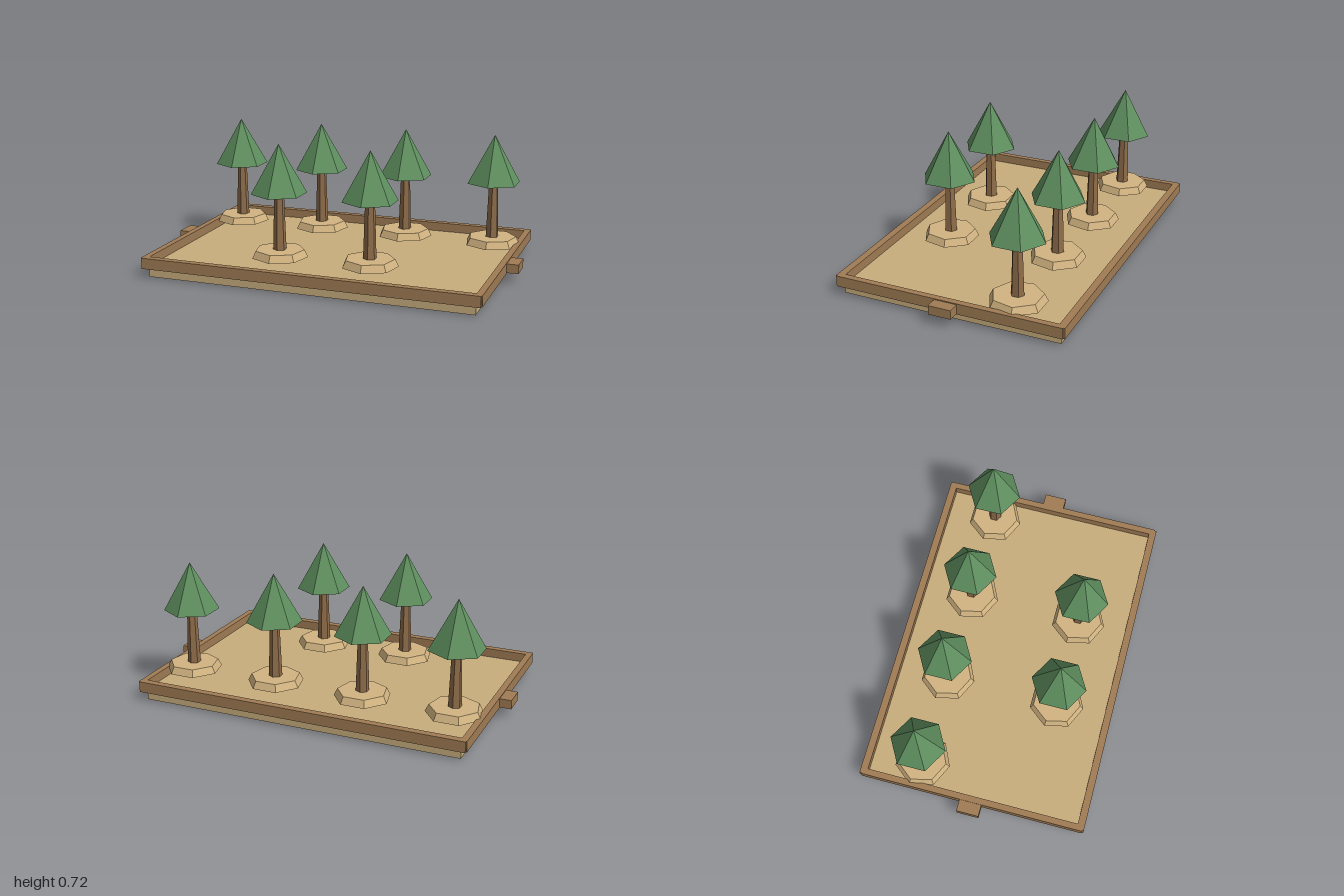
import * as THREE from 'three';

const mat = (color) => new THREE.MeshStandardMaterial({ color, flatShading: true });

export function createModel() {
  const model = new THREE.Group();
  const sand = mat(0xc8ad7d);
  const mound = mat(0xd2b481);
  const wood = mat(0xa07c54);
  const bark = mat(0x8f6d4a);
  const leaf = mat(0x5f8f5f);

  const add = (parent, name, geometry, material, x, y, z) => {
    const mesh = new THREE.Mesh(geometry, material);
    mesh.name = name;
    mesh.position.set(x, y, z);
    parent.add(mesh);
  };
  const box = (name, material, w, h, d, x, y, z) =>
    add(model, name, new THREE.BoxGeometry(w, h, d), material, x, y, z);

  // Sandy ground slab
  box('ground', sand, 1.8, 0.06, 1.22, 0, 0.03, 0);

  // Raised wooden frame and the end tabs
  for (const s of [-1, 1]) {
    box('longRail', wood, 1.86, 0.06, 0.04, 0, 0.08, s * 0.62);
    box('endRail', wood, 0.035, 0.06, 1.26, s * 0.9175, 0.08, 0);
    box('endTab', wood, 0.09, 0.05, 0.125, s * 0.955, 0.08, 0);
  }

  // Trees: seven-sided mound, tapered trunk, six-sided crown
  const moundGeo = new THREE.CylinderGeometry(0.135, 0.155, 0.04, 7);
  const trunkGeo = new THREE.CylinderGeometry(0.026, 0.037, 0.34, 6);
  const crownGeo = new THREE.ConeGeometry(0.152, 0.27, 6);
  const spots = [
    [-0.77, -0.32], [-0.257, -0.32], [0.257, -0.32], [0.77, -0.32],
    [-0.257, 0.32], [0.257, 0.32],
  ];
  for (const [x, z] of spots) {
    const tree = new THREE.Group();
    tree.name = 'tree';
    tree.position.set(x, 0, z);
    add(tree, 'mound', moundGeo, mound, 0, 0.12, 0);
    add(tree, 'trunk', trunkGeo, bark, 0, 0.29, 0);
    add(tree, 'crown', crownGeo, leaf, 0, 0.585, 0);
    model.add(tree);
  }
  return model;
}
